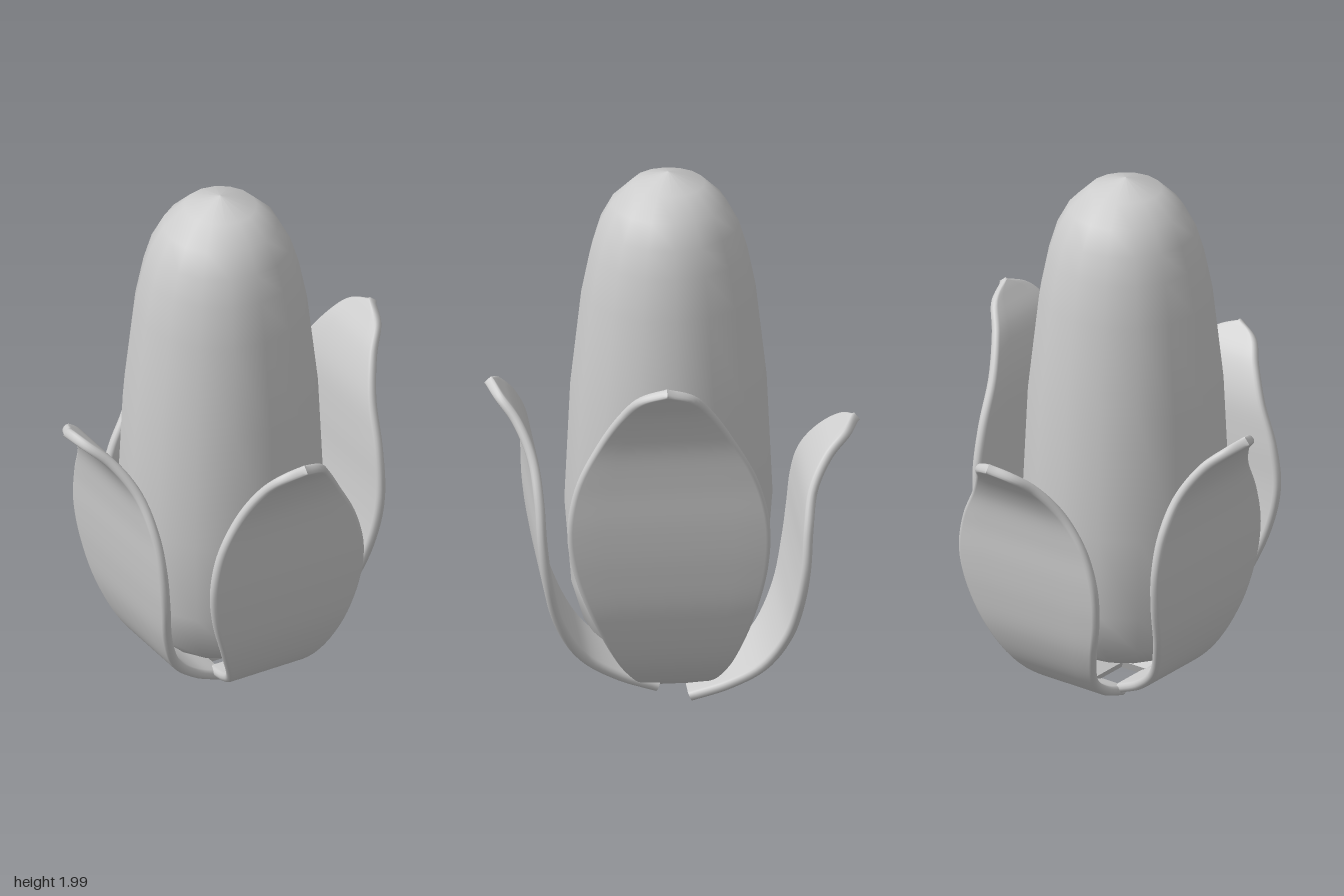
import * as THREE from 'three';

const HALF_THICK = 0.018;

// Shared leaf shape, as fractions: [height, belly, flare, width]
const LEAF_ROWS = [
  [0, 0.12, 0, 0.33], [0.055, 0.42, 0, 0.44], [0.14, 0.69, 0, 0.59], [0.28, 0.875, 0, 0.8],
  [0.43, 0.96, 0, 0.96], [0.56, 1, 0, 1], [0.69, 1, 0.05, 0.9], [0.81, 1, 0.16, 0.68],
  [0.91, 1, 0.46, 0.46], [0.97, 1, 0.8, 0.28], [1, 1, 1, 0],
];

// Outline of the leaf's thickness: [flat part, rim part, thickness part]
function leafSection() {
  const section = [], arc = 6, flat = 6;
  for (const side of [1, -1]) {
    for (let i = 0; i <= arc; i++) {
      const a = -Math.PI / 2 + Math.PI * i / arc;
      section.push([side, side * Math.cos(a), side * Math.sin(a)]);
    }
    for (let i = 1; i < flat; i++) section.push([side * (1 - 2 * i / flat), 0, side]);
  }
  return section;
}

// Solid husk leaf bending outward along +z; drift is its sideways centre at base, middle and tip
function leafGeometry({ bottom, top, belly, flare, width, drift }) {
  const path = new THREE.CatmullRomCurve3(LEAF_ROWS.map(([h, b, f, w]) =>
    new THREE.Vector3(b * belly + f * flare, bottom + h * (top - bottom), w * width)), false, 'centripetal');
  const sway = new THREE.SplineCurve(drift.map((x, i) => new THREE.Vector2(x, i)));
  const section = leafSection(), n = section.length, steps = 56;
  const pos = [], index = [];

  for (let s = 0; s <= steps; s++) {
    const p = path.getPoint(s / steps), q = path.getTangent(s / steps);
    const slope = Math.hypot(q.x, q.y);
    const w = Math.max(p.z, 0), rim = Math.min(HALF_THICK, w);
    const centre = sway.getPoint(s / steps).x;
    for (const [f, r, h] of section) {
      const k = h * HALF_THICK / slope;
      pos.push(centre + f * (w - rim) + r * rim, p.y - k * q.x, p.x + k * q.y);
    }
  }
  for (let s = 0; s < steps; s++) {
    for (let i = 0; i < n; i++) {
      const a = s * n + i, b = s * n + (i + 1) % n;
      index.push(a, a + n, b, b, a + n, b + n);
    }
  }
  // Flat cut at the base
  const base = pos.length / 3;
  pos.push(...pos.slice(0, n * 3));
  for (let i = 1; i < n - 1; i++) index.push(base, base + i, base + i + 1);

  const geometry = new THREE.BufferGeometry();
  geometry.setAttribute('position', new THREE.Float32BufferAttribute(pos, 3));
  geometry.setIndex(index);
  geometry.computeVertexNormals();
  return geometry;
}

export function createModel() {
  const group = new THREE.Group();
  const grey = new THREE.MeshStandardMaterial({ color: 0xcccccc });
  grey.name = 'plain grey';

  // Cob: sixteen-sided, widest low down, tapering to a domed top
  const profile = [[0, 0.16], [0.22, 0.2], [0.3, 0.28], [0.345, 0.43], [0.37, 0.75], [0.349, 1.2],
    [0.31, 1.55], [0.28, 1.7], [0.25, 1.8], [0.205, 1.885], [0.13, 1.958], [0, 2]];
  const cob = new THREE.Mesh(
    new THREE.LatheGeometry(profile.map(p => new THREE.Vector2(...p)), 16), grey);
  cob.name = 'cob';
  cob.position.z = 0.01;
  group.add(cob);

  // Four husk leaves of differing size, a quarter turn apart
  const leaves = [
    { name: 'frontLeaf', bottom: 0.06, top: 1.208, belly: 0.485, flare: 0.165, width: 0.314, drift: [0.03, -0.01, -0.03] },
    { name: 'leftLeaf', bottom: 0.06, top: 1.407, belly: 0.43, flare: 0.165, width: 0.36, drift: [0.01, -0.05, -0.07] },
    { name: 'backLeaf', bottom: 0.025, top: 1.075, belly: 0.445, flare: 0.205, width: 0.305, drift: [-0.05, -0.085, -0.11] },
    { name: 'rightLeaf', bottom: 0.05, top: 1.165, belly: 0.388, flare: 0.207, width: 0.308, drift: [0, -0.03, -0.06] },
  ];
  leaves.forEach((spec, i) => {
    const leaf = new THREE.Mesh(leafGeometry(spec), grey);
    leaf.name = spec.name;
    leaf.rotation.y = i * Math.PI / 2;
    group.add(leaf);
  });
  return group;
}
